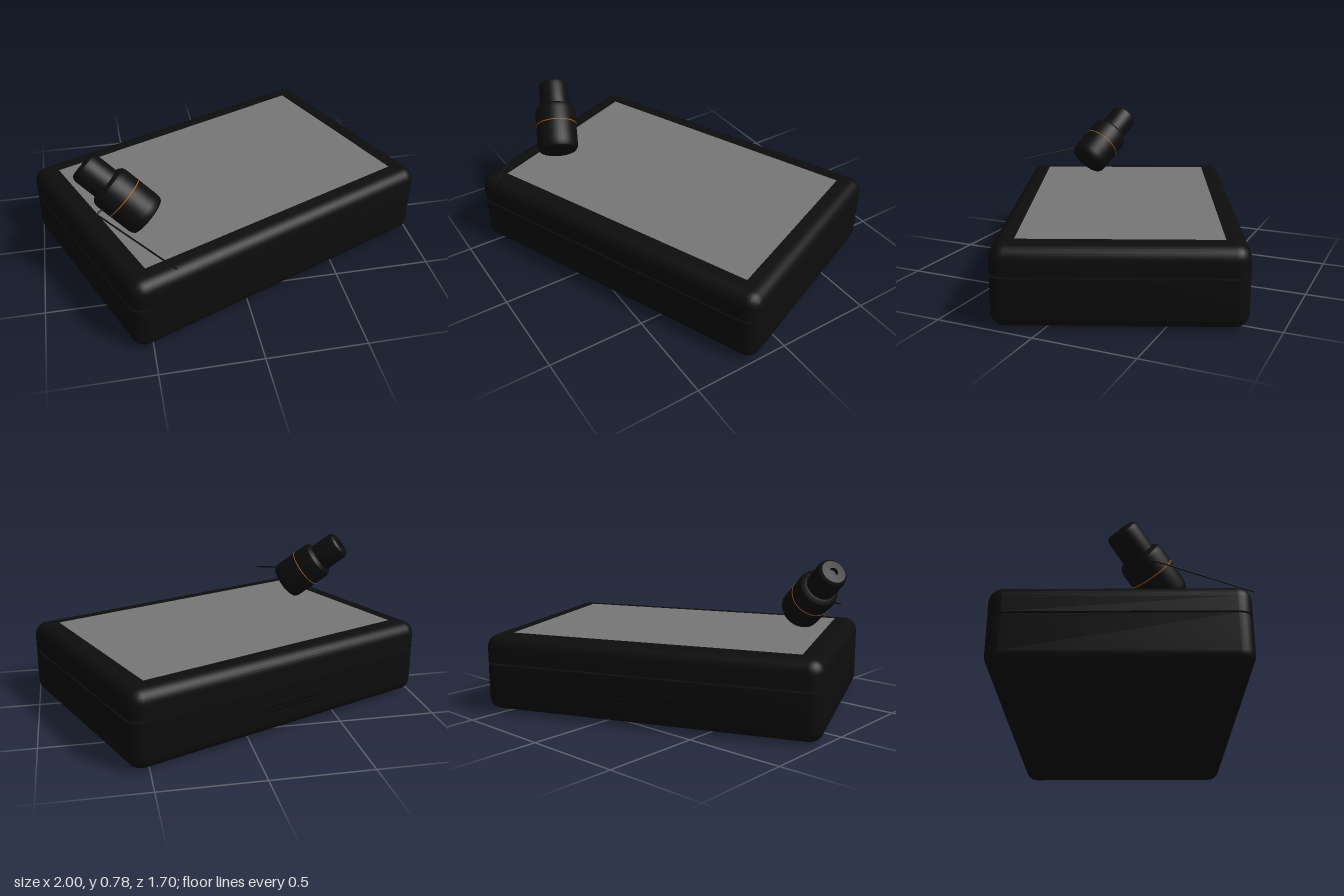
import * as THREE from 'three';
import { toCreasedNormals } from 'three/addons/utils/BufferGeometryUtils.js';

const W = 1.726, D = 1.171, R = 0.07; // case width, depth, corner radius

const black = new THREE.MeshStandardMaterial({ color: 0x0d0d0d });
const darkGrey = new THREE.MeshStandardMaterial({ color: 0x070707 });
const screenGrey = new THREE.MeshStandardMaterial({ color: 0x777777 });
const orange = new THREE.MeshStandardMaterial({ color: 0xb8600c });

function add(parent, name, geometry, material) {
  const mesh = new THREE.Mesh(geometry, material);
  mesh.name = name;
  parent.add(mesh);
  return mesh;
}

// Closed rounded-rectangle solid; the profile lists [inset, y] from bottom to top
function roundedSolid(profile) {
  const pos = [], index = [], steps = 8, n = 4 * (steps + 1);
  for (const [inset, y] of profile) {
    const r = R - inset;
    for (let q = 0; q < 4; q++) {
      const sx = q === 0 || q === 3 ? 1 : -1, sz = q < 2 ? -1 : 1;
      for (let s = 0; s <= steps; s++) {
        const a = (q + s / steps) * Math.PI / 2;
        pos.push(sx * (W / 2 - R) + r * Math.cos(a), y, sz * (D / 2 - R) - r * Math.sin(a));
      }
    }
  }
  const last = profile.length - 1;
  for (let j = 0; j < last; j++) {
    for (let i = 0; i < n; i++) {
      const a = j * n + i, b = j * n + (i + 1) % n;
      index.push(a, b, b + n, a, b + n, a + n);
    }
  }
  pos.push(0, profile[0][1], 0, 0, profile[last][1], 0);
  const bottom = n * (last + 1), top = bottom + 1;
  for (let i = 0; i < n; i++) {
    const k = (i + 1) % n;
    index.push(bottom, k, i, top, last * n + i, last * n + k);
  }
  const geo = new THREE.BufferGeometry();
  geo.setAttribute('position', new THREE.Float32BufferAttribute(pos, 3));
  geo.setIndex(index);
  return toCreasedNormals(geo, 0.6);
}

// Quarter-round edge as [inset, y] points, from the side wall to the flat face
function fillet(yFace, r, dir) {
  const pts = [];
  for (let i = 0; i <= 8; i++) {
    const a = i / 8 * Math.PI / 2;
    pts.push([r * (1 - Math.cos(a)), yFace - dir * r * (1 - Math.sin(a))]);
  }
  return pts;
}

function capsulePath(path, length, height) {
  const r = height / 2, h = length / 2 - r;
  path.moveTo(-h, -r);
  path.lineTo(h, -r);
  path.absarc(h, 0, r, -Math.PI / 2, Math.PI / 2, false);
  path.lineTo(-h, r);
  path.absarc(-h, 0, r, Math.PI / 2, Math.PI * 1.5, false);
  return path;
}

function buildCase() {
  const box = new THREE.Group();
  box.name = 'case';
  add(box, 'lowerShell', roundedSolid([...fillet(0.012, 0.06, -1).reverse(), [0, 0.251]]), black);
  add(box, 'upperShell', roundedSolid([[0, 0.26], ...fillet(0.399, 0.065, 1)]), black);

  // Flush display panel
  const screen = add(box, 'screen', new THREE.PlaneGeometry(1.495, 0.95), screenGrey);
  screen.rotation.x = -Math.PI / 2;
  screen.position.y = 0.401;

  // Oblong port on the back wall: rim with bars inside
  const port = new THREE.Group();
  port.name = 'backPort';
  const rim = capsulePath(new THREE.Shape(), 0.42, 0.07);
  rim.holes.push(capsulePath(new THREE.Path(), 0.39, 0.044));
  add(port, 'portRim', new THREE.ExtrudeGeometry(rim, { depth: 0.012, bevelEnabled: false, curveSegments: 10 }), black);
  for (const y of [-0.011, 0.011]) {
    add(port, 'portBar', new THREE.BoxGeometry(0.34, 0.007, 0.008), darkGrey).position.set(0, y, 0.007);
  }
  port.position.set(0, 0.14, -D / 2 - 0.005);
  box.add(port);

  // Shallow round foot underneath
  const footProfile = [[0, 0], [0.06, 0.001], [0.09, 0.005], [0.11, 0.014]].map(p => new THREE.Vector2(...p));
  add(box, 'foot', new THREE.LatheGeometry(footProfile, 32), black).position.set(0.315, 0, -0.29);

  box.rotation.y = 0.393;
  return box;
}

function buildViewer() {
  const viewer = new THREE.Group();
  viewer.name = 'viewer';

  // Wide barrel, stepped shoulder and narrow eyepiece with a small socket
  const profile = [
    [0, 0], [0.085, 0], [0.1, 0.006], [0.108, 0.02], [0.11, 0.04], [0.11, 0.225],
    [0.105, 0.245], [0.09, 0.258], [0.08, 0.262], [0.08, 0.375], [0.076, 0.392],
    [0.064, 0.402], [0.022, 0.404], [0.02, 0.385], [0, 0.385],
  ].map(p => new THREE.Vector2(...p));
  add(viewer, 'barrel', toCreasedNormals(new THREE.LatheGeometry(profile, 40), 0.6), black);

  const ring = add(viewer, 'accentRing', new THREE.TorusGeometry(0.109, 0.003, 8, 48), orange);
  ring.rotation.x = Math.PI / 2;
  ring.position.y = 0.15;

  const axis = new THREE.Vector3(-0.285, 0.25, -0.13).normalize();
  viewer.quaternion.setFromUnitVectors(new THREE.Vector3(0, 1, 0), axis);
  viewer.position.set(-0.455, 0.472, 0.44);
  return viewer;
}

export function createModel() {
  const model = new THREE.Group();
  model.name = 'model';
  model.add(buildCase(), buildViewer());

  // Thin bent wire leaving the barrel
  const wire = new THREE.CurvePath();
  const points = [[-0.62, 0.56, 0.41], [-0.7, 0.54, 0.46], [-0.375, 0.468, 0.835]]
    .map(p => new THREE.Vector3(...p));
  for (let i = 0; i < 2; i++) wire.add(new THREE.LineCurve3(points[i], points[i + 1]));
  add(model, 'wire', new THREE.TubeGeometry(wire, 40, 0.004, 8), black);
  return model;
}
